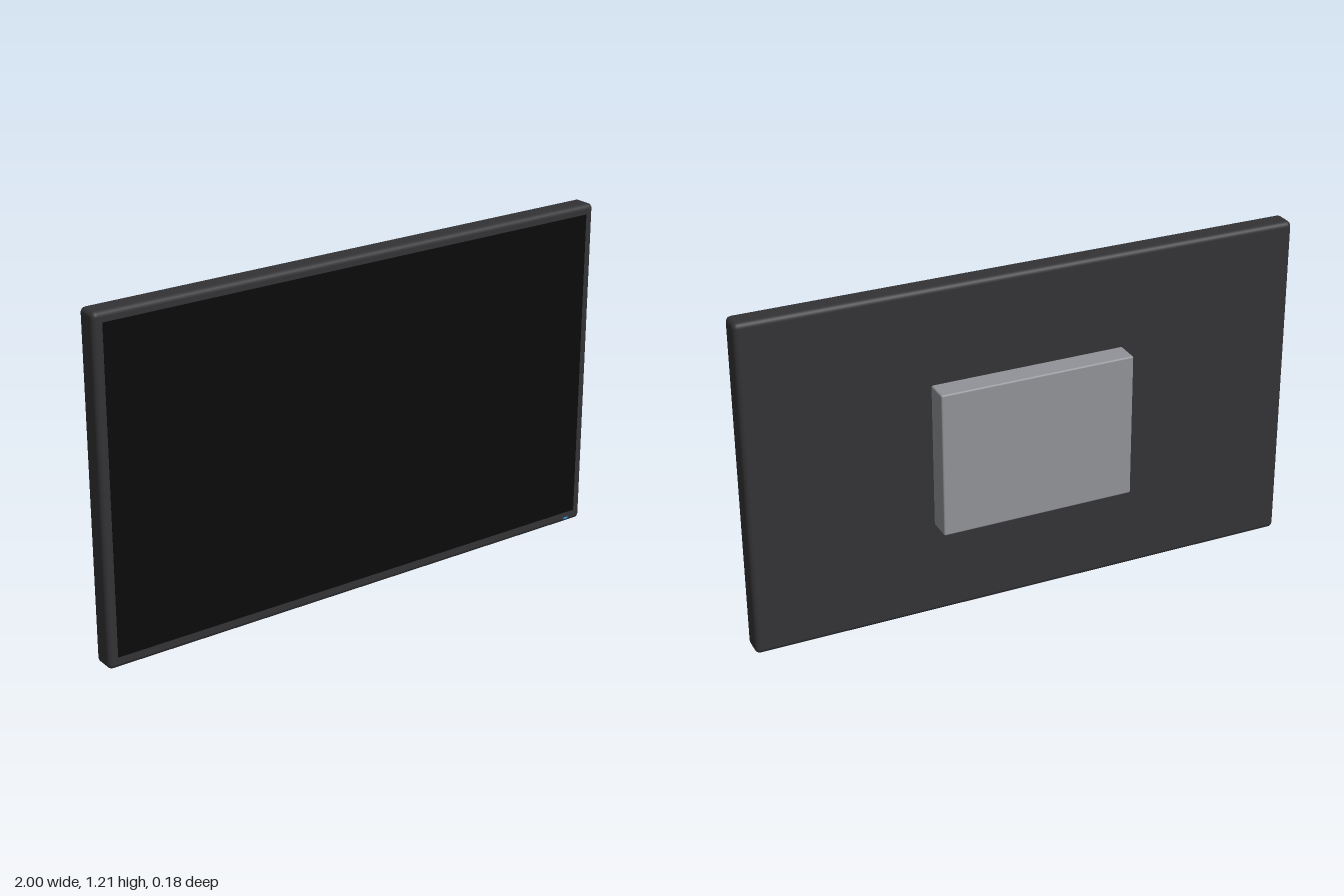
import * as THREE from 'three';
import { RoundedBoxGeometry } from 'three/addons/geometries/RoundedBoxGeometry.js';

const WIDTH = 2, HEIGHT = 1.21, DEPTH = 0.085;

function addPart(group, name, geometry, color, x, y, z) {
  const mesh = new THREE.Mesh(geometry, new THREE.MeshStandardMaterial({ color }));
  mesh.name = name;
  mesh.position.set(x, y, z);
  group.add(mesh);
}

export function createModel() {
  const group = new THREE.Group();
  group.name = 'wallDisplay';

  // Dark casing with softly rounded edges
  addPart(group, 'casing', new RoundedBoxGeometry(WIDTH, HEIGHT, DEPTH, 3, 0.018),
    0x333336, 0, HEIGHT / 2, DEPTH / 2);

  // Black panel, almost flush with the front of the casing
  addPart(group, 'screen', new THREE.BoxGeometry(1.934, 1.135, 0.01),
    0x0a0a0a, 0, 0.6075, DEPTH - 0.004);

  // Small power light in the lower bezel
  addPart(group, 'powerLight', new THREE.BoxGeometry(0.02, 0.006, 0.006),
    0x3399dd, 0.93, 0.017, DEPTH);

  // Grey mounting block on the back
  addPart(group, 'wallMount', new RoundedBoxGeometry(0.7, 0.524, 0.088, 3, 0.006),
    0x929398, 0, 0.607, -0.044);

  return group;
}
